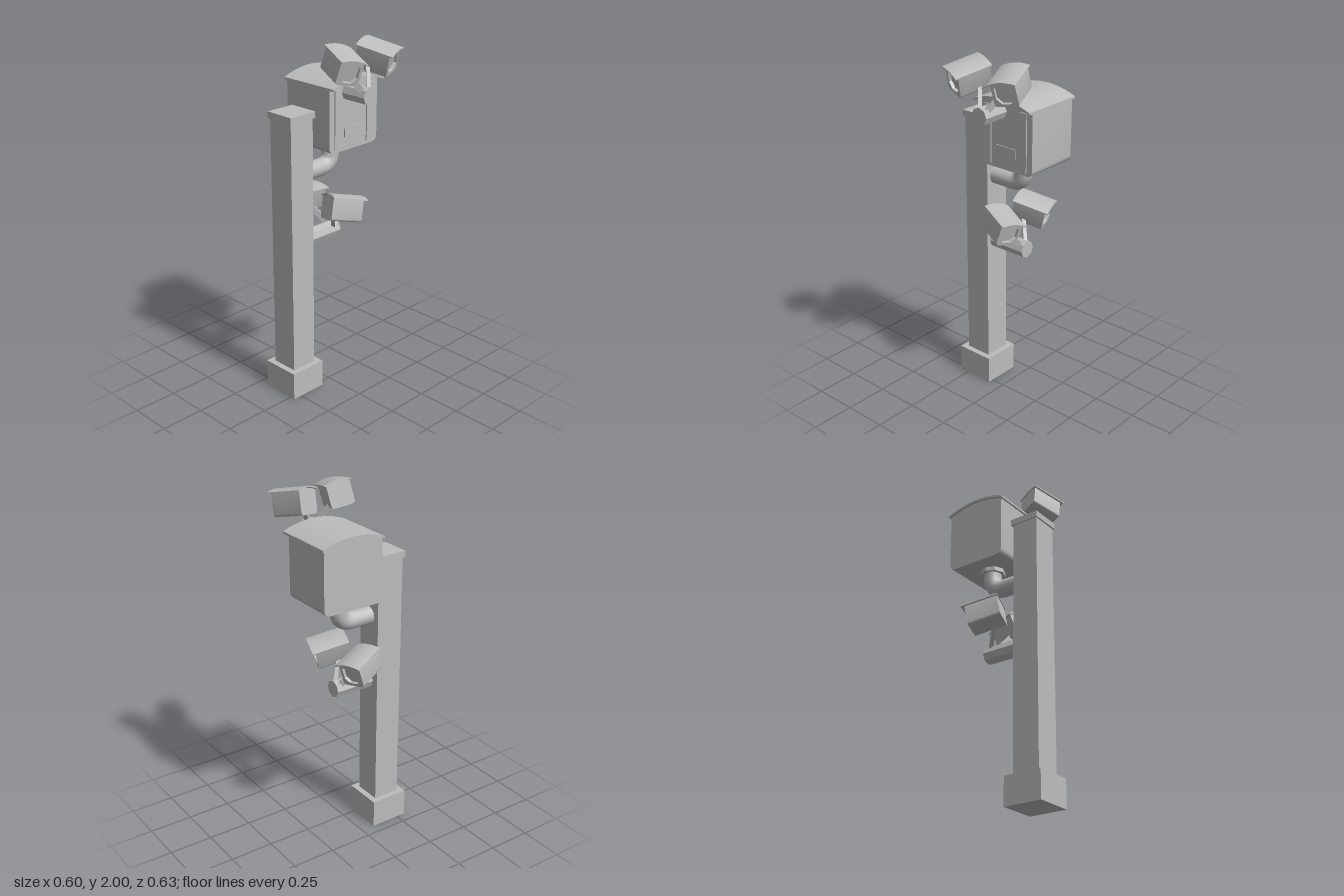
import * as THREE from 'three';
import { toCreasedNormals } from 'three/addons/utils/BufferGeometryUtils.js';

const grey = new THREE.MeshStandardMaterial({ color: 0xbcbcbc });
grey.name = 'paintedMetalGrey';

const deg = THREE.MathUtils.degToRad;

function add(parent, name, geometry, x = 0, y = 0, z = 0) {
  const mesh = new THREE.Mesh(toCreasedNormals(geometry, deg(40)), grey);
  mesh.name = name;
  mesh.position.set(x, y, z);
  parent.add(mesh);
  return mesh;
}

const box = (w, h, d) => new THREE.BoxGeometry(w, h, d);

// Extrude a front-facing shape from z = back to z = front
function slab(shape, back, front) {
  const g = new THREE.ExtrudeGeometry(shape, {
    depth: front - back, bevelEnabled: false, curveSegments: 5,
  });
  return g.translate(0, 0, back);
}

// Points on a shallow arch, from the right eave to the left
function arch(w, rise, y = 0) {
  const points = [];
  for (let i = 0; i <= 12; i++) {
    const u = 1 - i / 6;
    points.push(new THREE.Vector2(u * w / 2, y + rise * (1 - u * u)));
  }
  return points;
}

// Case section: arched top at y = 0, softened lower corners
function caseShape(w, h, r, rise) {
  const s = new THREE.Shape();
  s.moveTo(-w / 2 + r, -h);
  s.lineTo(w / 2 - r, -h);
  s.quadraticCurveTo(w / 2, -h, w / 2, -h + r);
  arch(w, rise).forEach((p) => s.lineTo(p.x, p.y));
  s.lineTo(-w / 2, -h + r);
  s.quadraticCurveTo(-w / 2, -h, -w / 2 + r, -h);
  return s;
}

// Thin arched cover
function roofShape(w, rise, t) {
  return new THREE.Shape([...arch(w, rise, t), ...arch(w, rise).reverse()]);
}

// Camera: origin at the middle of the roof eaves, lens towards +z
function makeCamera(name) {
  const cam = new THREE.Group();
  cam.name = name;
  const w = 0.13, h = 0.122, rise = 0.011;
  add(cam, 'cameraRoof', slab(roofShape(0.152, 0.014, 0.007), -0.105, 0.105));
  add(cam, 'cameraBody', slab(caseShape(w, h, 0.02, rise), -0.1, 0.068));
  // Front frame around the recessed lens window
  const frame = caseShape(w, h, 0.02, rise);
  frame.holes.push(new THREE.Path([
    [-0.05, -0.018], [-0.05, -0.078], [-0.024, -0.106],
    [0.024, -0.106], [0.05, -0.078], [0.05, -0.018],
  ].map(([x, y]) => new THREE.Vector2(x, y))));
  add(cam, 'lensFrame', slab(frame, 0.068, 0.085));
  return cam;
}

// Arm with a pair of cameras; origin at the free end of the arm, pointing +z
function makeCameraPair(name, armLength) {
  const pair = new THREE.Group();
  pair.name = name;
  const arm = new THREE.CylinderGeometry(0.049, 0.049, armLength, 8).rotateX(Math.PI / 2);
  add(pair, 'cameraArm', arm, 0, 0, -armLength / 2);

  const settings = [
    { name: 'rightCamera', side: -1, pos: [-0.1275, 0.222, -0.0515], pitch: 13, roll: -12 },
    { name: 'leftCamera', side: 1, pos: [0.1375, 0.222, -0.0645], pitch: 13, roll: 8 },
  ];
  for (const s of settings) {
    const cam = makeCamera(s.name);
    cam.position.set(...s.pos);
    cam.rotation.set(deg(s.pitch), deg(20 * s.side), deg(s.roll), 'YXZ');
    pair.add(cam);
    // Strut from the arm to the underside of the camera
    const from = new THREE.Vector3(0.012 * s.side, 0.01, -0.022);
    const to = new THREE.Vector3(0.085 * s.side, 0.125, -0.1);
    const strut = add(pair, 'cameraStrut', box(0.02, 0.032, from.distanceTo(to)));
    strut.position.copy(from).lerp(to, 0.5);
    strut.lookAt(to);
  }
  return pair;
}

export function createModel() {
  const model = new THREE.Group();
  model.name = 'cameraPost';

  // Post
  const px = -0.192, pz = -0.08;
  add(model, 'postBase', box(0.223, 0.16, 0.223), px, 0.08, pz);
  add(model, 'post', box(0.156, 1.45, 0.156), px, 0.885, pz);
  add(model, 'postCap', box(0.175, 0.035, 0.175), px, 1.6225, pz);

  // Equipment cabinet
  const cabinet = new THREE.Group();
  cabinet.name = 'cabinet';
  cabinet.position.set(0.097, 1.763, 0);
  model.add(cabinet);
  add(cabinet, 'cabinetBody', slab(caseShape(0.358, 0.348, 0.038, 0.034), -0.228, 0.09));
  add(cabinet, 'cabinetRoof', slab(roofShape(0.379, 0.038, 0.012), -0.238, 0.128));
  for (const side of [-1, 1]) {
    add(cabinet, 'cabinetStrip', box(0.048, 0.32, 0.008), side * 0.12, -0.17, 0.093);
  }
  add(cabinet, 'cabinetPlate', box(0.14, 0.056, 0.006), 0, -0.248, 0.092);

  // Bent pipe carrying the cabinet
  const v = (x, y) => new THREE.Vector3(x, y, -0.075);
  const path = new THREE.CurvePath();
  path.add(new THREE.LineCurve3(v(-0.13, 1.285), v(0.01, 1.285)));
  path.add(new THREE.QuadraticBezierCurve3(v(0.01, 1.285), v(0.085, 1.285), v(0.088, 1.37)));
  path.add(new THREE.LineCurve3(v(0.088, 1.37), v(0.088, 1.42)));
  add(model, 'supportPipe', new THREE.TubeGeometry(path, 20, 0.05, 14));
  add(model, 'pipeCollar', new THREE.CylinderGeometry(0.07, 0.07, 0.025, 8), 0.088, 1.4035, -0.075);

  // Camera pairs: one on the cabinet front, one on the side of the post
  const upper = makeCameraPair('upperCameraPair', 0.16);
  upper.position.set(0.057, 1.734, 0.245);
  const lower = makeCameraPair('lowerCameraPair', 0.24);
  lower.position.set(0.118, 0.902, -0.07);
  lower.rotation.y = Math.PI / 2;
  model.add(upper, lower);

  return model;
}
